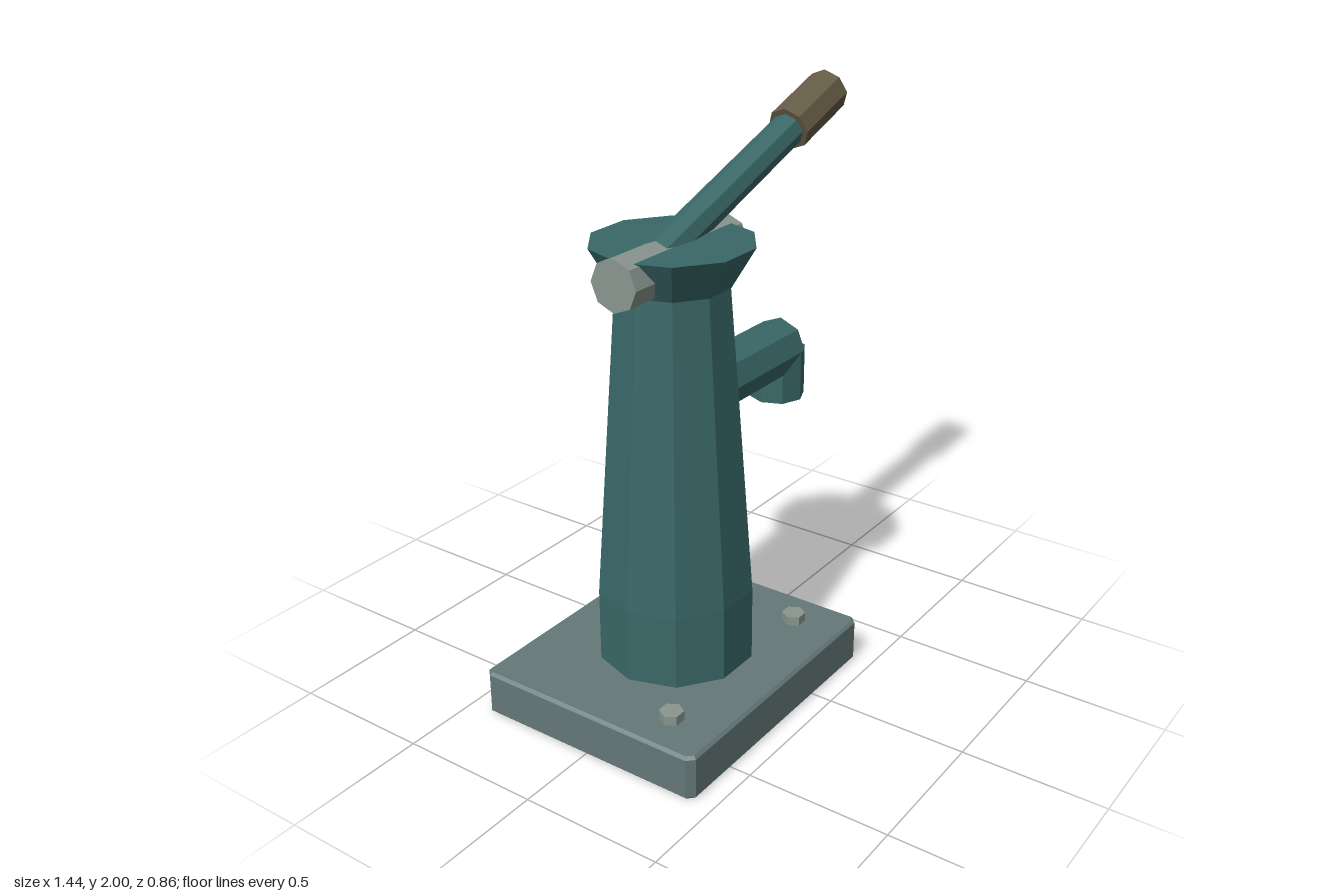
import * as THREE from 'three';

const paint = (color) => new THREE.MeshStandardMaterial({ color, flatShading: true });
const CX = -0.213; // centre of base and column

export function createModel() {
  const model = new THREE.Group();
  const teal = paint(0x3a6868), stone = paint(0x657878);
  const steel = paint(0x8a9690), wood = paint(0x665c46);

  const add = (name, geometry, material) => {
    const mesh = new THREE.Mesh(geometry, material);
    mesh.name = name;
    model.add(mesh);
    return mesh;
  };

  // Faceted rod running between two points
  const rod = (name, from, to, radius, sides, material, thetaStart = 0) => {
    const a = new THREE.Vector3(...from), b = new THREE.Vector3(...to);
    const dir = b.clone().sub(a);
    const g = new THREE.CylinderGeometry(radius, radius, dir.length(), sides, 1, false, thetaStart);
    const mesh = add(name, g, material);
    mesh.position.copy(a).add(b).multiplyScalar(0.5);
    mesh.quaternion.setFromUnitVectors(new THREE.Vector3(0, 1, 0), dir.normalize());
    return mesh;
  };

  // Base slab with chamfered corners and rims
  const w = 0.498, d = 0.42, c = 0.018, bevel = 0.01;
  const outline = new THREE.Shape([
    [-w + c, -d], [w - c, -d], [w, -d + c], [w, d - c],
    [w - c, d], [-w + c, d], [-w, d - c], [-w, -d + c],
  ].map(([x, y]) => new THREE.Vector2(x, y)));
  const slab = new THREE.ExtrudeGeometry(outline, {
    depth: 0.16 - 2 * bevel, bevelSize: bevel, bevelThickness: bevel, bevelSegments: 1,
  });
  slab.rotateX(-Math.PI / 2).translate(CX, bevel, 0);
  add('base', slab, stone);

  // Ten-sided tapering column with flared head
  const profile = [[0, 0.15], [0.27, 0.15], [0.27, 0.42], [0.19, 1.48], [0.27, 1.617], [0, 1.617]]
    .map(([x, y]) => new THREE.Vector2(x, y));
  add('column', new THREE.LatheGeometry(profile, 10, Math.PI / 2), teal).position.x = CX;

  // Pivot pin across the head
  rod('pivotPin', [-0.508, 1.55, 0], [0.08, 1.55, 0], 0.086, 8, steel);

  // Handle arm and grip share one sloping axis
  const tilt = THREE.MathUtils.degToRad(19.6);
  const along = (t) => [0.443 + Math.cos(tilt) * t, 1.838 + Math.sin(tilt) * t, 0];
  rod('handleArm', along(-0.8), along(0.05), 0.058, 8, teal);
  rod('handleGrip', along(0), along(0.268), 0.077, 8, wood);

  // Spout and its downturned nozzle
  rod('spout', [-0.1, 1.07, 0], [0.42, 1.07, 0], 0.102, 8, teal);
  rod('nozzle', [0.4, 0.89, 0], [0.4, 1.07, 0], 0.1, 8, teal);

  // Hex bolts along the front of the base
  for (const x of [-0.58, 0.148]) {
    rod(x < 0 ? 'rightBolt' : 'leftBolt', [x, 0.14, 0.25], [x, 0.193, 0.25], 0.041, 6, steel, Math.PI / 2);
  }
  return model;
}
